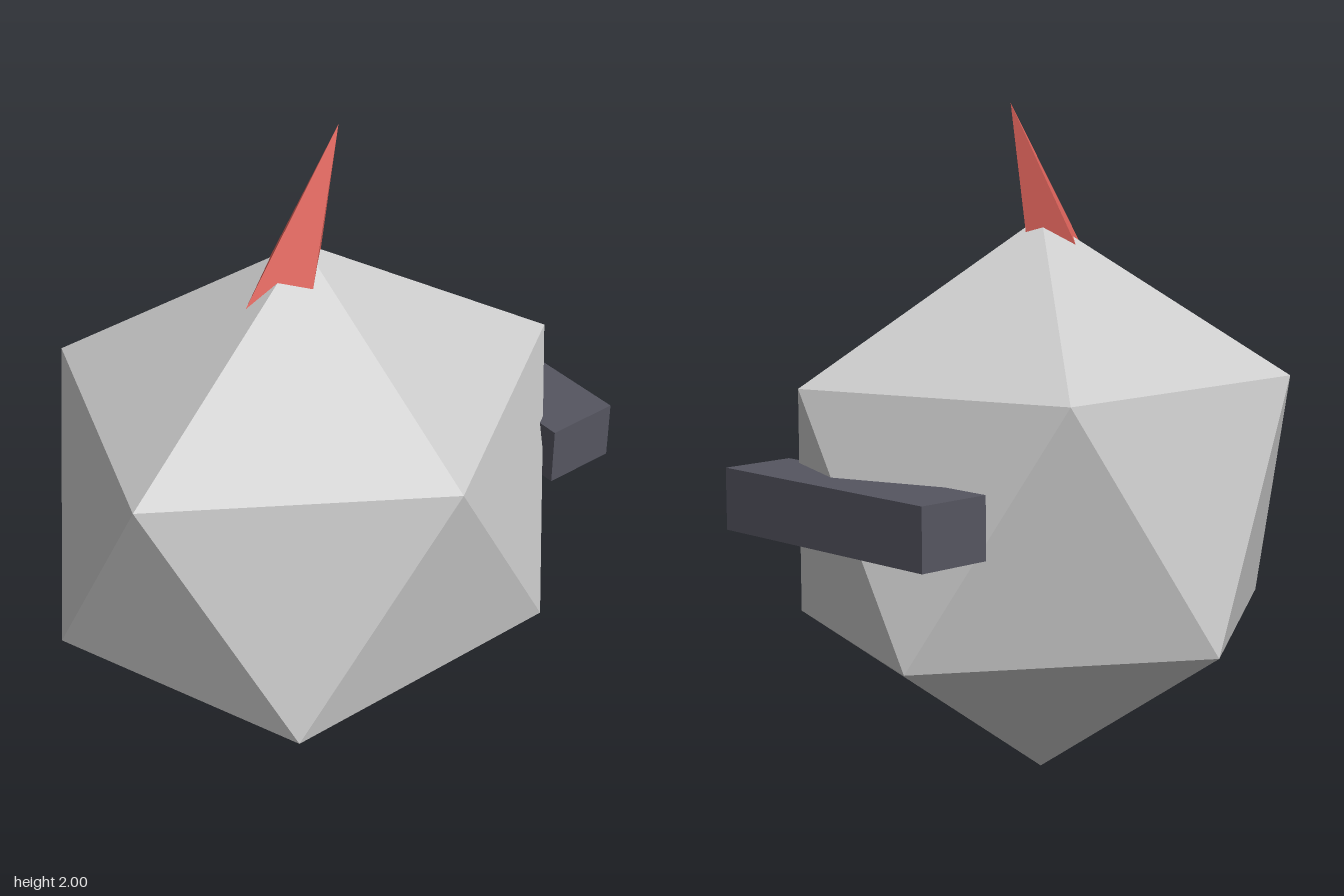
import * as THREE from 'three';
import { ConvexGeometry } from 'three/addons/geometries/ConvexGeometry.js';

const material = (color) => new THREE.MeshStandardMaterial({ color, flatShading: true });

export function createModel() {
  const model = new THREE.Group();
  const add = (name, geometry, color) => {
    const mesh = new THREE.Mesh(geometry, material(color));
    mesh.name = name;
    model.add(mesh);
    return mesh;
  };

  // Twenty-sided body: two poles and two opposed rings of five, slightly stretched in depth
  const rx = 0.705, rz = 0.785, cz = 0.055;
  const points = [new THREE.Vector3(0, 0, cz), new THREE.Vector3(0, 1.67, cz)];
  for (let i = 0; i < 5; i++) {
    const a = (i / 5) * Math.PI * 2;
    const x = rx * Math.cos(a), z = rz * Math.sin(a);
    points.push(new THREE.Vector3(x, 1.21, cz + z), new THREE.Vector3(-x, 0.465, cz - z));
  }
  add('body', new ConvexGeometry(points), 0xcccccc);

  // Four-sided spike leaning back, its foot sunk into the body; origin at the tip
  const spike = add('spike', new THREE.ConeGeometry(0.136, 0.6, 4).translate(0, -0.3, 0), 0xe0645c);
  spike.position.set(0, 2, -0.07);
  spike.rotation.x = -0.385;

  // Crossbar across the back
  const bar = add('backBar', new THREE.BoxGeometry(0.83, 0.18, 0.23), 0x555560);
  bar.position.set(0, 0.885, -0.685);

  return model;
}
